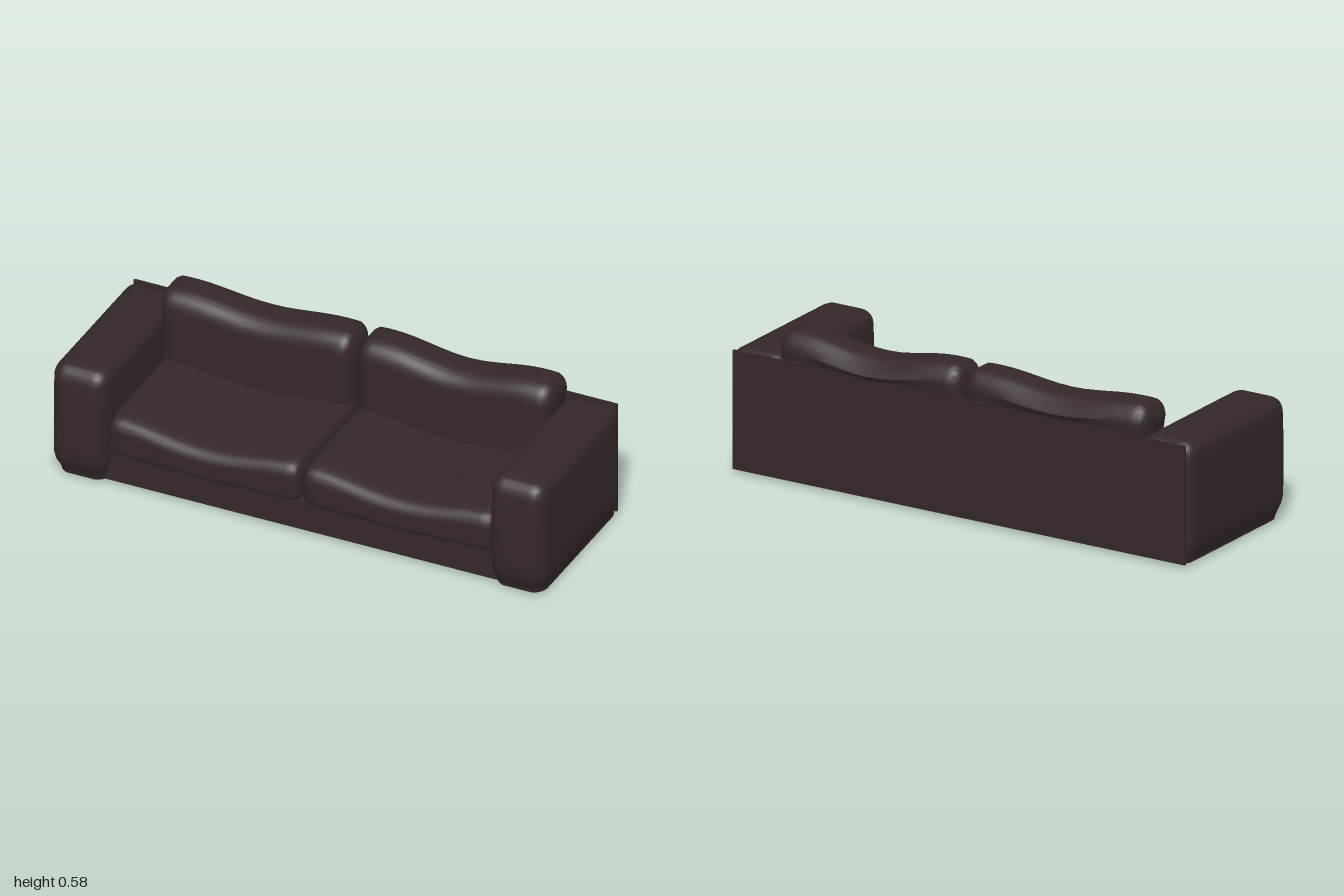
import * as THREE from 'three';
import { toCreasedNormals } from 'three/addons/utils/BufferGeometryUtils.js';

const { clamp, smoothstep } = THREE.MathUtils;

// Upholstered block between lo and hi. rLo / rHi are the rounding radii at the
// low and high end of each axis (0 keeps that end square); deform shapes it further.
function upholstered(lo, hi, rLo, rHi, deform) {
  const size = hi.map((h, i) => h - lo[i]);
  const geometry = new THREE.BoxGeometry(2, 2, 2, 22, 18, 20);
  const position = geometry.attributes.position;
  const v = new THREE.Vector3();
  for (let i = 0; i < position.count; i++) {
    v.fromBufferAttribute(position, i);
    const inner = [], offset = [], radius = [];
    v.toArray().forEach((t, a) => {
      // Crowd the grid lines towards the edges
      const p = lo[a] + size[a] * (0.5 + 0.5 * Math.sin(t * Math.PI / 2));
      inner[a] = clamp(p, lo[a] + rLo[a], hi[a] - rHi[a]);
      radius[a] = p < inner[a] ? rLo[a] : rHi[a];
      offset[a] = radius[a] > 0 ? (p - inner[a]) / radius[a] : 0;
    });
    const length = Math.hypot(...offset);
    const k = length > 0 ? Math.max(...offset.map(Math.abs)) / length : 0;
    v.fromArray(inner.map((c, a) => c + offset[a] * k * radius[a]));
    deform(v);
    position.setXYZ(i, v.x, v.y, v.z);
  }
  geometry.deleteAttribute('uv');
  return toCreasedNormals(geometry, 0.7);
}

// Low and high x of a part on one side of the sofa
const span = (side, near, far) => side > 0 ? [near, far] : [-far, -near];

function armGeometry(side) {
  const [x0, x1] = span(side, 0.775, 1);
  return upholstered([x0, 0.012, -0.325], [x1, 0.478, 0.335],
    [0.055, 0, 0.03], [0.055, 0.055, 0.06], (v) => {
      // Tuck in the lower edge and swell the front panel
      const tuck = 1 - smoothstep(v.y, 0.012, 0.09);
      const outer = smoothstep(Math.abs(v.x), 0.9, 1);
      const inner = 1 - smoothstep(Math.abs(v.x), 0.775, 0.85);
      v.x += side * tuck * (0.012 * inner - 0.018 * outer);
      const front = smoothstep(v.z, 0.2, 0.335);
      const swell = Math.sin(Math.PI * clamp(v.y / 0.478, 0, 1));
      v.z += front * (0.01 * swell - 0.027 * tuck);
    });
}

function seatGeometry(side) {
  const [x0, x1] = span(side, 0.004, 0.785);
  return upholstered([x0, 0.13, -0.3], [x1, 0.3, 0.31],
    [0.035, 0.02, 0.04], [0.035, 0.06, 0.05], (v) => {
      const u = (Math.abs(v.x) - 0.395) / 0.39;
      const across = Math.cos(u * Math.PI / 2) ** 2;
      const top = smoothstep(v.y, 0.16, 0.28);
      // Worn hollow in the seat, rolling down at the front
      const hollow = Math.exp(-(((v.z - 0.06) / 0.2) ** 2));
      const roll = smoothstep(v.z, 0.12, 0.31);
      v.y -= top * (across * (0.028 + 0.012 * hollow) + 0.012 * roll);
      v.z += 0.012 * across * smoothstep(v.z, 0.2, 0.31);
    });
}

function backCushionGeometry(side) {
  const [x0, x1] = span(side, 0.006, 0.79);
  const dip = side > 0 ? 0.038 : 0.026;
  return upholstered([x0, 0.2, -0.325], [x1, 0.58, -0.137],
    [0.045, 0.04, 0.06], [0.045, 0.08, 0.075], (v) => {
      const u = (Math.abs(v.x) - 0.4) / 0.39;
      const across = Math.cos(clamp(u / 0.8, -1, 1) * Math.PI / 2) ** 2;
      const top = smoothstep(v.y, 0.36, 0.58);
      // Spill over the back panel and splay at the outer shoulder
      const spill = Math.exp(-(((v.y - 0.515) / 0.03) ** 2));
      if (v.z < -0.25) v.z -= 0.022 * spill * Math.cos(u * Math.PI / 2);
      v.x += side * 0.01 * smoothstep(u, 0.7, 1) * smoothstep(v.y, 0.45, 0.52);
      v.y -= dip * across * top;
    });
}

export function createModel() {
  const sofa = new THREE.Group();
  sofa.name = 'sofa';
  const leather = new THREE.MeshStandardMaterial({ color: 0x342828 });
  leather.name = 'darkBrownLeather';

  const add = (name, geometry, x = 0, y = 0, z = 0) => {
    const mesh = new THREE.Mesh(geometry, leather);
    mesh.name = name;
    mesh.position.set(x, y, z);
    sofa.add(mesh);
  };

  // Frame
  add('base', new THREE.BoxGeometry(1.6, 0.117, 0.61), 0, 0.0735, -0.015);
  add('backPanel', new THREE.BoxGeometry(1.96, 0.46, 0.01), 0, 0.242, -0.33);

  for (const side of [1, -1]) {
    const label = side > 0 ? 'left' : 'right';
    add(label + 'Arm', armGeometry(side));
    add(label + 'SeatCushion', seatGeometry(side));
    add(label + 'BackCushion', backCushionGeometry(side));
    // Feet under each arm
    for (const [end, z] of [['Front', 0.22], ['Rear', -0.237]]) {
      add(label + end + 'Foot', new THREE.BoxGeometry(0.076, 0.014, 0.076), side * 0.89, 0.007, z);
    }
  }
  return sofa;
}
